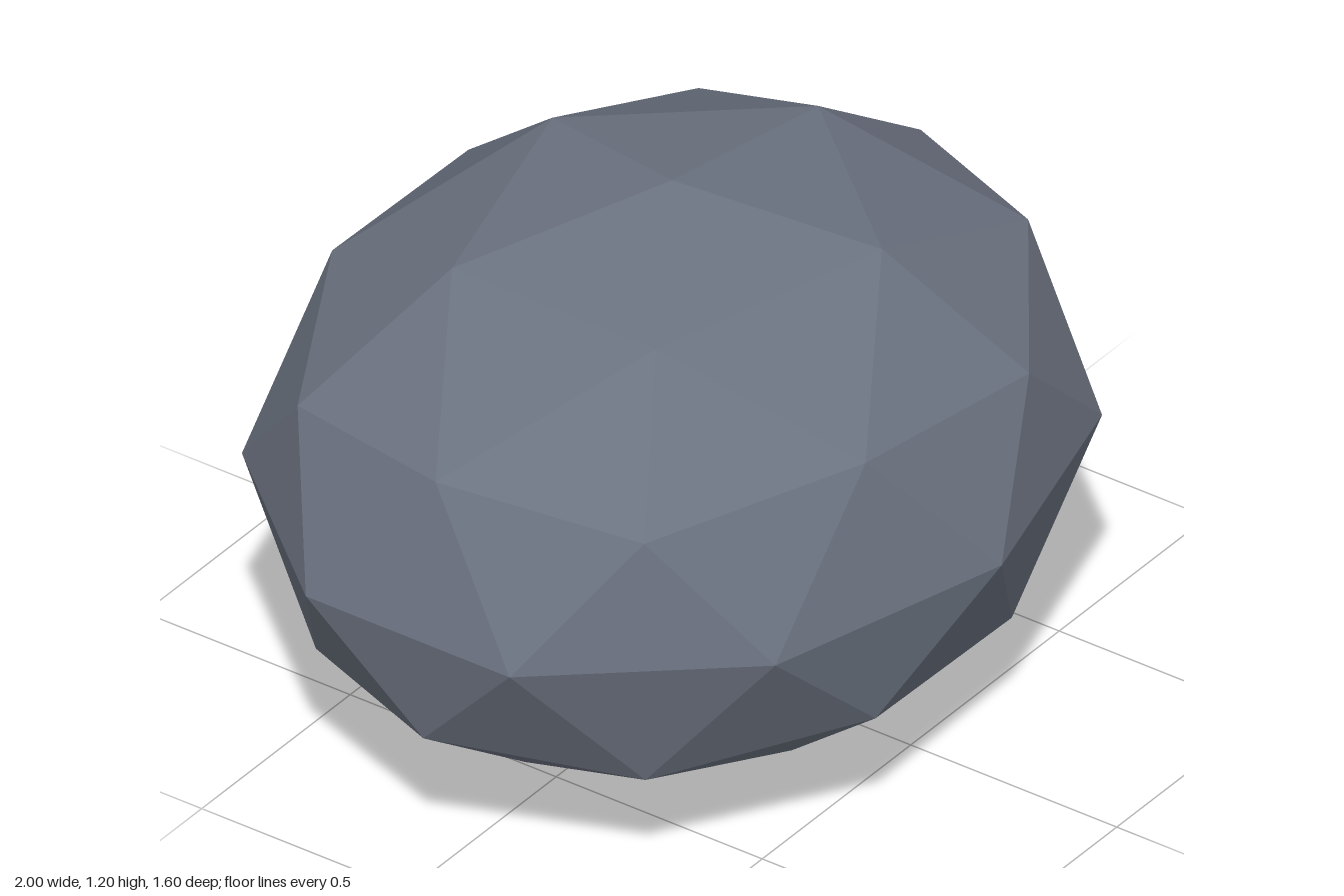
import * as THREE from 'three';

// Faceted boulder: a once-subdivided icosahedron with a corner turned to the top, squashed into an ellipsoid.
function boulder(name, material, radii, position) {
  const geometry = new THREE.IcosahedronGeometry(1, 1);
  geometry.rotateZ(-Math.atan(2 / (1 + Math.sqrt(5))));
  geometry.scale(...radii);
  geometry.computeVertexNormals(); // unshared corners give flat facets
  const mesh = new THREE.Mesh(geometry, material);
  mesh.name = name;
  mesh.position.set(...position);
  return mesh;
}

export function createModel() {
  const slate = new THREE.MeshStandardMaterial({ color: 0x6b7280 });
  slate.name = 'slateStone';
  const grey = new THREE.MeshStandardMaterial({ color: 0x8b8c8c });
  grey.name = 'greyStone';
  for (const m of [slate, grey]) m.flatShading = true;

  const group = new THREE.Group();
  group.name = 'rocks';
  group.add(
    boulder('largeRock', slate, [0.936, 0.6, 0.8], [-0.11, 0.6, 0]),
    boulder('smallRock', grey, [0.535, 0.37, 0.468], [0.49, 0.43, -0.08])
  );
  return group;
}
